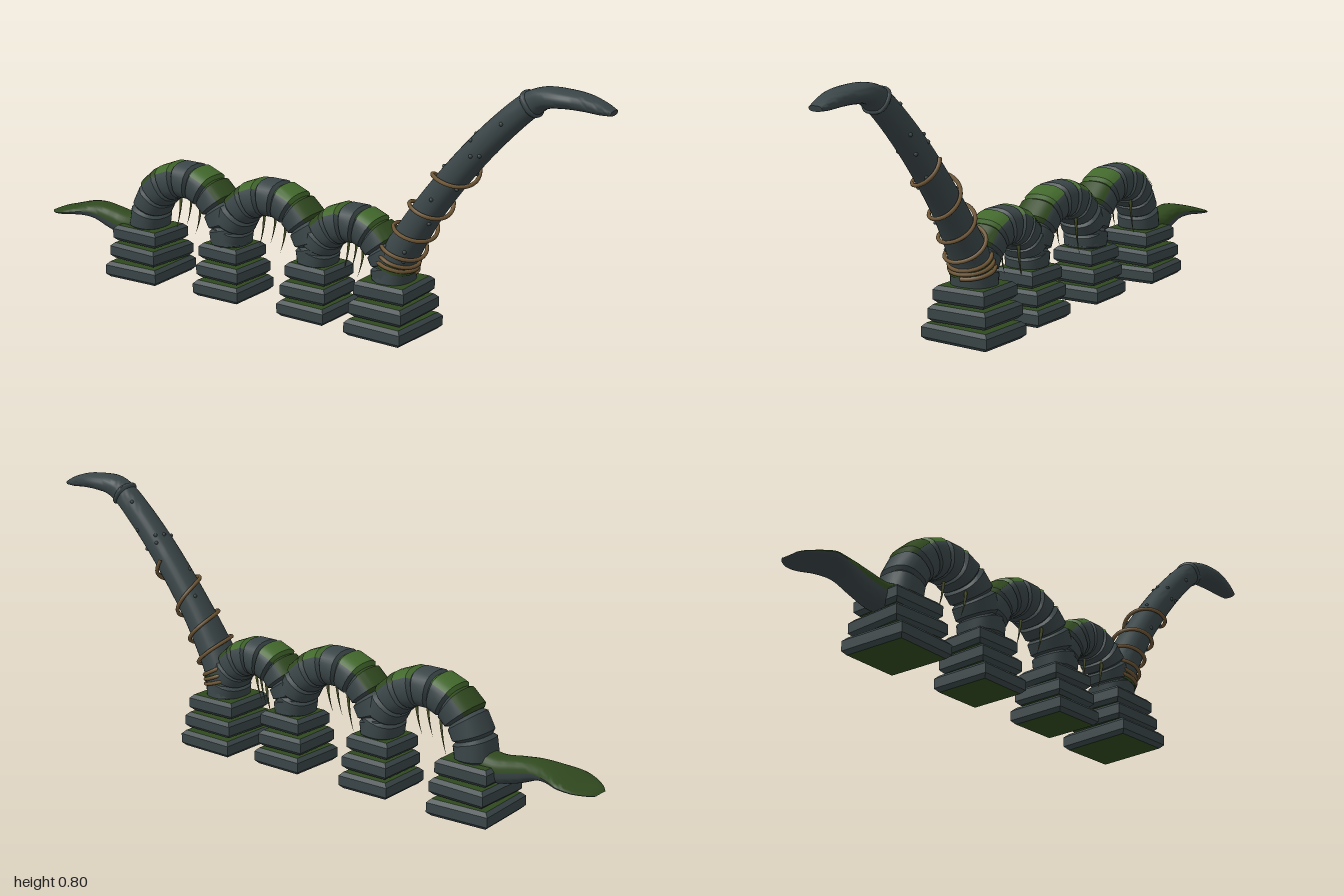
import * as THREE from 'three';
import { toCreasedNormals } from 'three/addons/utils/BufferGeometryUtils.js';

const mat = (name, color) => Object.assign(new THREE.MeshStandardMaterial({ color }), { name });
const stone = mat('stone', 0x3a4547);
const moss = mat('moss', 0x30491f);
const brightMoss = mat('bright moss', 0x42682c);
const rope = mat('rope', 0x6e5636);
const vine = mat('vine', 0x4a5228);

let seed = 7;
const rand = () => (seed = (seed * 16807) % 2147483647) / 2147483647 - 0.5;

function addMesh(parent, name, geometry, material) {
  const mesh = new THREE.Mesh(geometry, material);
  mesh.name = name;
  parent.add(mesh);
  return mesh;
}

// Point on a cross-section; all spines lie in the x = 0 plane and run towards -z
function sectionPoint(r, phi, power = 0.8, grow = 0) {
  const c = Math.cos(phi), s = Math.sin(phi), len = Math.hypot(r.tz, r.ty);
  const x = (r.rx + grow) * Math.sign(c) * Math.abs(c) ** power;
  const n = (r.ry + grow) * Math.sign(s) * Math.abs(s) ** power;
  return new THREE.Vector3(x, r.y - (n * r.tz) / len, r.z + (n * r.ty) / len);
}

// Skin over rings, full (capped) or over part of the way round
function loft(rings, { from = 0, to = Math.PI * 2, sides = 20, grow = 0, crease = 0.6 } = {}) {
  const full = to - from > 6.2, cols = full ? sides : sides + 1;
  const pos = [], index = [];
  for (const r of rings)
    for (let i = 0; i < cols; i++) pos.push(...sectionPoint(r, from + ((to - from) * i) / sides, 0.8, grow));
  for (let j = 0; j < rings.length - 1; j++)
    for (let i = 0; i < sides; i++) {
      const a = j * cols + i, b = j * cols + ((i + 1) % cols), c = a + cols, d = b + cols;
      index.push(a, c, b, b, c, d);
    }
  if (full) {
    const last = (rings.length - 1) * cols, centre = pos.length / 3;
    for (const r of [rings[0], rings[rings.length - 1]]) pos.push(0, r.y, r.z);
    for (let i = 0; i < sides; i++) {
      const k = (i + 1) % sides;
      index.push(centre, i, k, centre + 1, last + k, last + i);
    }
  }
  const g = new THREE.BufferGeometry();
  g.setAttribute('position', new THREE.Float32BufferAttribute(pos, 3));
  g.setIndex(index);
  return toCreasedNormals(g, crease);
}

// Smooth spine through rows of [z, y, half width, half height]
function spine(rows) {
  const path = new THREE.CatmullRomCurve3(rows.map(([z, y]) => new THREE.Vector3(0, y, z)));
  const size = new THREE.CatmullRomCurve3(rows.map(([, , rx, ry]) => new THREE.Vector3(rx, ry, 0)));
  return (u) => {
    const p = path.getPoint(u), t = path.getTangent(u), s = size.getPoint(u);
    return { z: p.z, y: p.y, tz: t.z, ty: t.y, rx: s.x, ry: Math.max(s.y, 0.001) };
  };
}
const sample = (fn, n) => Array.from({ length: n + 1 }, (_, i) => fn(i / n));

// Bevelled slab with mossy faces and bare stone edges
function slab(width, height, depth) {
  const b = 0.011, w = width / 2 - b, d = depth / 2 - b;
  const shape = new THREE.Shape([[-w, -d], [w, -d], [w, d], [-w, d]].map((p) => new THREE.Vector2(...p)));
  const g = new THREE.ExtrudeGeometry(shape, {
    depth: height - 2 * b, bevelEnabled: true, bevelThickness: b, bevelSize: b, bevelSegments: 1,
  });
  return g.translate(0, 0, b - height / 2).rotateX(-Math.PI / 2);
}

// Three stacked slabs
function pedestal(z, width, depth) {
  const g = new THREE.Group();
  g.name = 'pedestal';
  for (let i = 0; i < 3; i++) {
    const m = addMesh(g, 'slab', slab(width * (1 - i * 0.12), 0.051, depth * (1 - i * 0.06)), [moss, stone]);
    m.position.set(rand() * 0.006, 0.03 + i * 0.057, z + rand() * 0.006);
    m.rotation.set(0, rand() * 0.1, rand() * 0.04);
  }
  return g;
}

// Arched body section of wedge stones with moss caps and hanging vines
function arch(z0, z1, peak) {
  const g = new THREE.Group();
  g.name = 'bodyArch';
  const a = (z0 - z1) / 2, zc = (z0 + z1) / 2, b = peak - 0.057 - 0.165, count = 9;
  const ringAt = (th, rx, ry) => ({
    z: zc + a * Math.cos(th), y: 0.165 + b * Math.sin(th),
    tz: -a * Math.sin(th), ty: b * Math.cos(th), rx, ry,
  });
  const caps = { 2: moss, 3: brightMoss, 5: brightMoss, 6: moss };
  for (let k = 0; k < count; k++) {
    const fat = 1 + rand() * 0.07;
    const rings = [[0, 0.84], [0.14, 1], [0.86, 1], [1, 0.84]].map(([f, s]) =>
      ringAt(((k + f) / count) * Math.PI, 0.065 * s * fat, 0.057 * s * fat));
    addMesh(g, 'bodyStone', loft(rings), stone);
    if (caps[k])
      addMesh(g, 'mossCap', loft(rings, { from: 0.6, to: Math.PI - 0.6, sides: 10, grow: 0.002 }), caps[k]);
  }
  // tapering vines under the arch
  [0.3, 0.48, 0.68].forEach((f, i) => {
    const r = ringAt(f * Math.PI, 0.05, 0.05);
    const top = sectionPoint(r, -Math.PI / 2), length = 0.1 + 0.012 * i;
    const cone = new THREE.ConeGeometry(0.006, length, 6, 8).rotateX(Math.PI);
    const p = cone.attributes.position;
    for (let v = 0; v < p.count; v++) {
      const d = 0.5 - p.getY(v) / length;
      p.setZ(v, p.getZ(v) - 0.022 * d * d);
    }
    cone.computeVertexNormals();
    addMesh(g, 'hangingVine', cone, vine).position.set((i - 1) * 0.03, top.y - length / 2 + 0.01, top.z);
  });
  return g;
}

export function createModel() {
  const model = new THREE.Group();
  model.name = 'serpentStatue';

  // Pedestals and arches
  const feet = [[0.325, 0.232, 0.195], [0.055, 0.19, 0.172], [-0.272, 0.19, 0.172], [-0.603, 0.215, 0.2]];
  feet.forEach((f) => model.add(pedestal(...f)));
  [0.372, 0.4, 0.402].forEach((peak, i) => model.add(arch(feet[i][0], feet[i + 1][0], peak)));

  // Head and neck, from snout to base
  const neck = spine([
    [1, 0.755, 0.022, 0.008], [0.97, 0.762, 0.03, 0.016], [0.92, 0.772, 0.04, 0.022],
    [0.86, 0.775, 0.048, 0.025], [0.8, 0.77, 0.043, 0.03], [0.76, 0.75, 0.037, 0.036],
    [0.685, 0.685, 0.039, 0.038], [0.58, 0.575, 0.043, 0.04], [0.46, 0.425, 0.047, 0.043],
    [0.39, 0.32, 0.054, 0.047], [0.345, 0.24, 0.061, 0.052], [0.325, 0.165, 0.069, 0.06],
  ]);
  addMesh(model, 'headAndNeck', loft(sample(neck, 60), { sides: 24, crease: 0.9 }), stone);

  // Raised collar behind the head
  const collar = sample((t) => {
    const r = neck(0.445 + t * 0.025), s = Math.sin(t * Math.PI) * 0.008 - 0.002;
    return { ...r, rx: r.rx + s, ry: r.ry + s };
  }, 6);
  addMesh(model, 'neckCollar', loft(collar, { crease: 0.9 }), stone);

  // Rope: tight turns at the base, then a loose spiral up the neck
  const coil = sample((s) => {
    const u = s < 0.4 ? 0.945 - 0.125 * s : 0.895 - 0.25 * ((s - 0.4) / 0.6);
    const angle = Math.PI * 2 * 6.3 * (s - 1) + 0.6 * Math.PI;
    return sectionPoint(neck(u), angle - Math.PI / 2, 1, s < 0.4 ? 0.006 : 0.012);
  }, 130);
  addMesh(model, 'neckRope', new THREE.TubeGeometry(new THREE.CatmullRomCurve3(coil), 400, 0.006, 7), rope);

  // Mossy bands between the tight rope turns
  for (const u of [0.91, 0.935]) {
    const band = sample((t) => neck(u + t * 0.012), 2);
    addMesh(model, 'mossBand', loft(band, { grow: 0.003 }), moss);
  }

  // Small knobs scattered on the neck
  const knob = new THREE.SphereGeometry(0.006, 8, 6);
  for (let i = 0; i < 22; i++) {
    const u = 0.72 + rand() * 0.42;
    addMesh(model, 'knob', knob, stone).position.copy(sectionPoint(neck(u), rand() * Math.PI * 2));
  }

  // Tail fluke: mossy above, bare stone below
  const tail = sample(spine([
    [-0.6, 0.165, 0.05, 0.045], [-0.68, 0.155, 0.046, 0.04], [-0.75, 0.168, 0.043, 0.036],
    [-0.81, 0.182, 0.046, 0.027], [-0.86, 0.182, 0.062, 0.018], [-0.91, 0.174, 0.079, 0.012],
    [-0.95, 0.166, 0.07, 0.008], [-0.985, 0.16, 0.045, 0.005], [-1, 0.157, 0.025, 0.001],
  ]), 36);
  addMesh(model, 'tailTop', loft(tail, { to: Math.PI, sides: 12, crease: 0.9 }), moss);
  addMesh(model, 'tailUnderside', loft(tail, { from: Math.PI, sides: 12, crease: 0.9 }), stone);

  return model;
}
